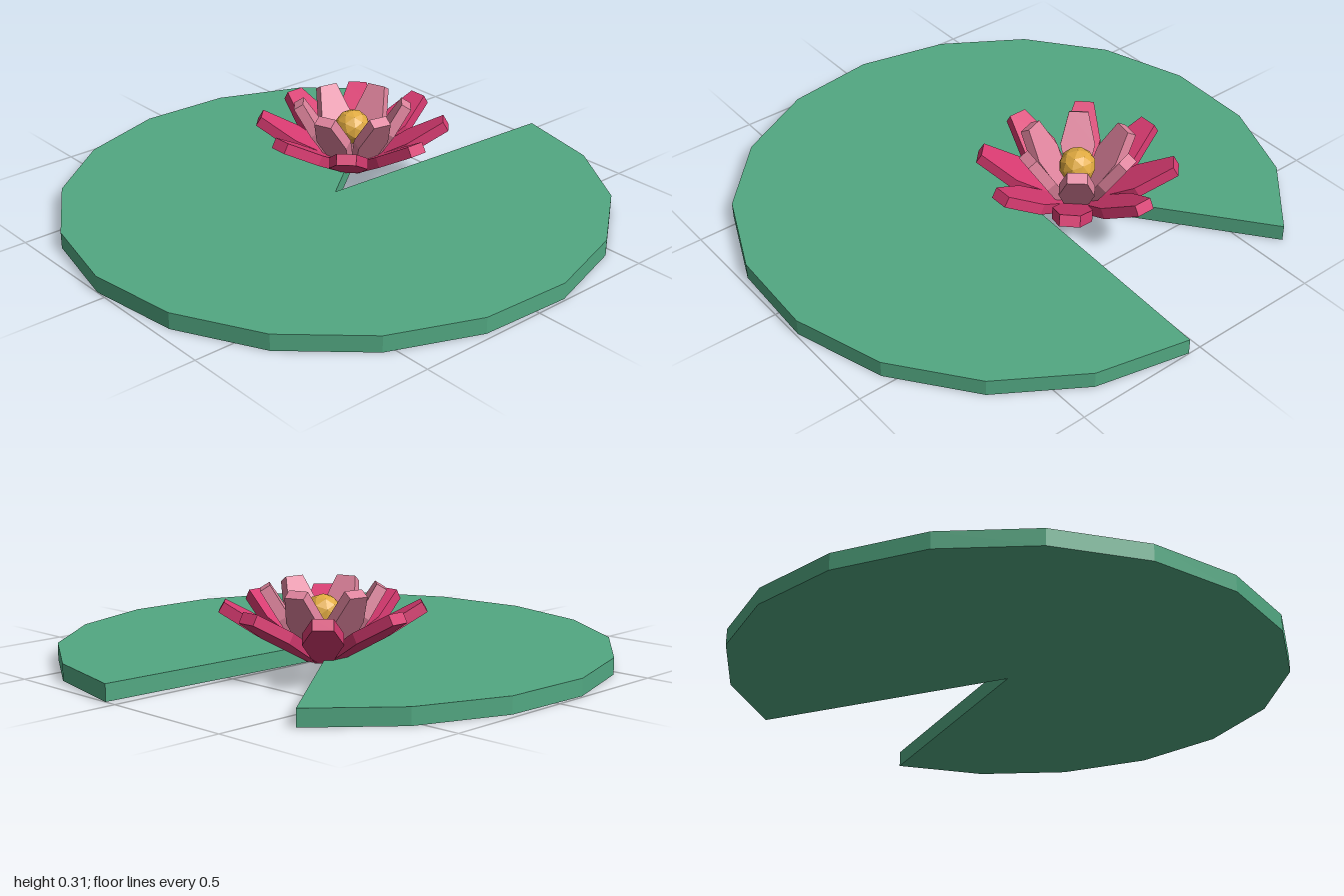
import * as THREE from 'three';

const material = (name, color) => {
  const m = new THREE.MeshStandardMaterial({ color, flatShading: true });
  m.name = name;
  return m;
};

// Six-sided petal slab: base at the origin, length along +y, outer face towards +z
function petalGeometry({ length, base, wide, tip, shoulder, thickness }) {
  const half = [[base / 2, 0], [wide / 2, length * shoulder], [tip / 2, length]];
  const mirrored = half.map(([x, y]) => [-x, y]).reverse();
  const shape = new THREE.Shape([...half, ...mirrored].map(([x, y]) => new THREE.Vector2(x, y)));
  return new THREE.ExtrudeGeometry(shape, { depth: thickness, bevelEnabled: false })
    .translate(0, 0, -thickness);
}

// Ring of petals leaning outwards at the given elevation
function petalRing(name, mat, { count, turn, elevation, radius, y, ...petal }) {
  const ring = new THREE.Group();
  ring.name = name + 's';
  const geometry = petalGeometry(petal)
    .rotateX(THREE.MathUtils.degToRad(90 - elevation))
    .translate(0, y, radius);
  for (let i = 0; i < count; i++) {
    const mesh = new THREE.Mesh(geometry, mat);
    mesh.name = name;
    mesh.rotation.y = turn + (i / count) * Math.PI * 2;
    ring.add(mesh);
  }
  return ring;
}

export function createModel() {
  const group = new THREE.Group();
  group.name = 'waterLily';
  const leafGreen = material('leafGreen', 0x52a882);
  const deepPink = material('deepPink', 0xd63a70);
  const palePink = material('palePink', 0xde839c);
  const gold = material('gold', 0xe0aa40);

  // Floating leaf: faceted disc with a wedge cut to its middle
  const thickness = 0.06, segments = 16;
  const start = THREE.MathUtils.degToRad(2.8), arc = THREE.MathUtils.degToRad(319.5);
  const outline = [new THREE.Vector2(0, 0)];
  for (let i = 0; i <= segments; i++) {
    const a = start + (arc * i) / segments;
    outline.push(new THREE.Vector2(Math.cos(a), Math.sin(a)));
  }
  const pad = new THREE.Mesh(
    new THREE.ExtrudeGeometry(new THREE.Shape(outline), { depth: thickness, bevelEnabled: false })
      .rotateX(Math.PI / 2).translate(0, thickness, 0),
    leafGreen);
  pad.name = 'lilyPad';
  group.add(pad);

  // Flower
  const flower = new THREE.Group();
  flower.name = 'flower';
  flower.position.set(0.21, 0, -0.145);
  flower.add(petalRing('outerPetal', deepPink, {
    count: 8, turn: 0, elevation: 30, radius: 0.055, y: 0.043,
    length: 0.35, base: 0.06, wide: 0.14, tip: 0.07, shoulder: 0.57, thickness: 0.04,
  }));
  flower.add(petalRing('innerPetal', palePink, {
    count: 6, turn: -0.2, elevation: 58, radius: 0.068, y: 0.055,
    length: 0.28, base: 0.055, wide: 0.125, tip: 0.07, shoulder: 0.58, thickness: 0.04,
  }));

  // Golden heart
  const heart = new THREE.Mesh(new THREE.IcosahedronGeometry(0.066, 1), gold);
  heart.name = 'flowerHeart';
  heart.position.y = 0.21;
  flower.add(heart);
  group.add(flower);
  return group;
}
